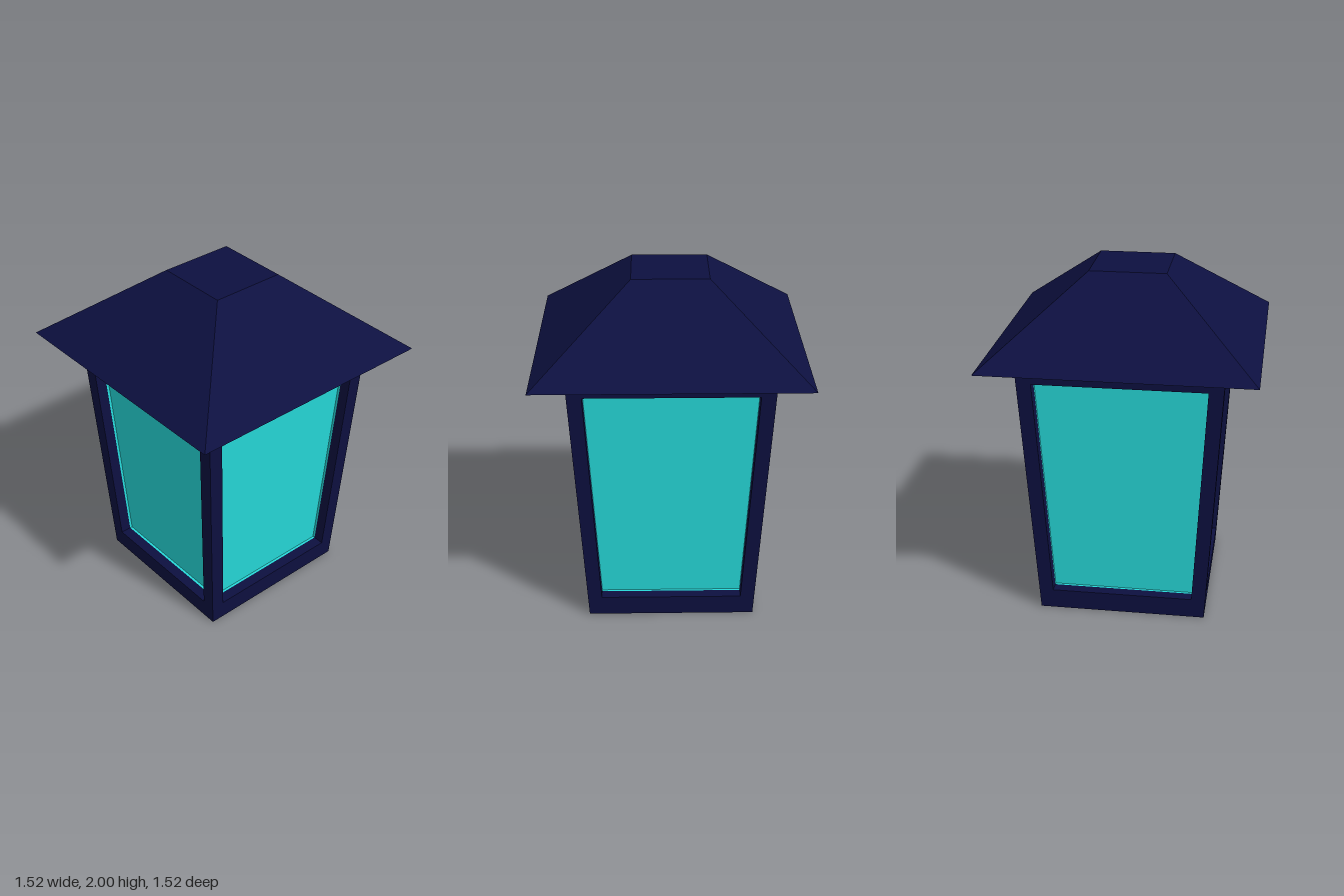
import * as THREE from 'three';

const BODY_TOP = 1.56, BASE_HALF = 0.485, TOP_HALF = 0.575;
const FRAME_DEPTH = 0.065, RIM_DEPTH = 0.015;
// half width of the tapering body at height y
const half = (y) => BASE_HALF + (TOP_HALF - BASE_HALF) * (y / BODY_TOP);

const trapezoid = (y0, y1, w0, w1) =>
  [[-w0, y0], [w0, y0], [w1, y1], [-w1, y1]].map(([x, y]) => new THREE.Vector2(x, y));

// lean a flat panel onto the sloping side, its z = 0 lying on the outer surface
function lean(geometry, mitre = false) {
  const p = geometry.attributes.position;
  for (let i = 0; i < p.count; i++) {
    const x = p.getX(i), y = p.getY(i), z = p.getZ(i), h = half(y);
    if (mitre && Math.abs(x) > h - 0.01) p.setX(i, Math.sign(x) * (h + z));
    p.setZ(i, h + z);
  }
  geometry.computeVertexNormals();
  return geometry;
}

// flat panel with a hole, extruded inwards from the given depth
function ring(outer, inner, from, depth, mitre) {
  const shape = new THREE.Shape(outer);
  shape.holes.push(new THREE.Path(inner));
  const g = new THREE.ExtrudeGeometry(shape, { depth, bevelEnabled: false });
  g.translate(0, 0, -from - depth);
  return lean(g, mitre);
}

export function createModel() {
  const group = new THREE.Group();
  const metal = new THREE.MeshStandardMaterial({ color: 0x0d1040, flatShading: true });
  const glass = new THREE.MeshStandardMaterial({ color: 0x26dada, flatShading: true });
  const add = (parent, name, geometry, material) => {
    const mesh = new THREE.Mesh(geometry, material);
    mesh.name = name;
    parent.add(mesh);
    return mesh;
  };

  // four tapering sides: frame, and recessed glass with a thin rim
  const opening = trapezoid(0.12, 1.45, 0.41, 0.485);
  const frame = ring(trapezoid(0, BODY_TOP, BASE_HALF, TOP_HALF), opening, 0, FRAME_DEPTH, true);
  const rim = ring(trapezoid(0.11, 1.46, 0.418, 0.493), opening, FRAME_DEPTH, RIM_DEPTH);
  const pane = new THREE.ShapeGeometry(new THREE.Shape(opening));
  pane.translate(0, 0, -FRAME_DEPTH - RIM_DEPTH);
  lean(pane);
  ['front', 'left', 'back', 'right'].forEach((side, i) => {
    const wall = new THREE.Group();
    wall.name = side + 'Wall';
    wall.rotation.y = i * Math.PI / 2;
    add(wall, side + 'Frame', frame, metal);
    add(wall, side + 'GlassRim', rim, glass);
    add(wall, side + 'GlassPane', pane, glass);
    group.add(wall);
  });

  // floor plate closing the base
  const floorWidth = 2 * (BASE_HALF - FRAME_DEPTH);
  add(group, 'floor', new THREE.BoxGeometry(floorWidth, 0.04, floorWidth), metal).position.y = 0.02;

  // overhanging truncated pyramid roof
  const roof = new THREE.CylinderGeometry(0.217 * Math.SQRT2, 0.76 * Math.SQRT2, 2 - BODY_TOP, 4);
  roof.rotateY(Math.PI / 4);
  add(group, 'roof', roof, metal).position.y = (2 + BODY_TOP) / 2;

  return group;
}
